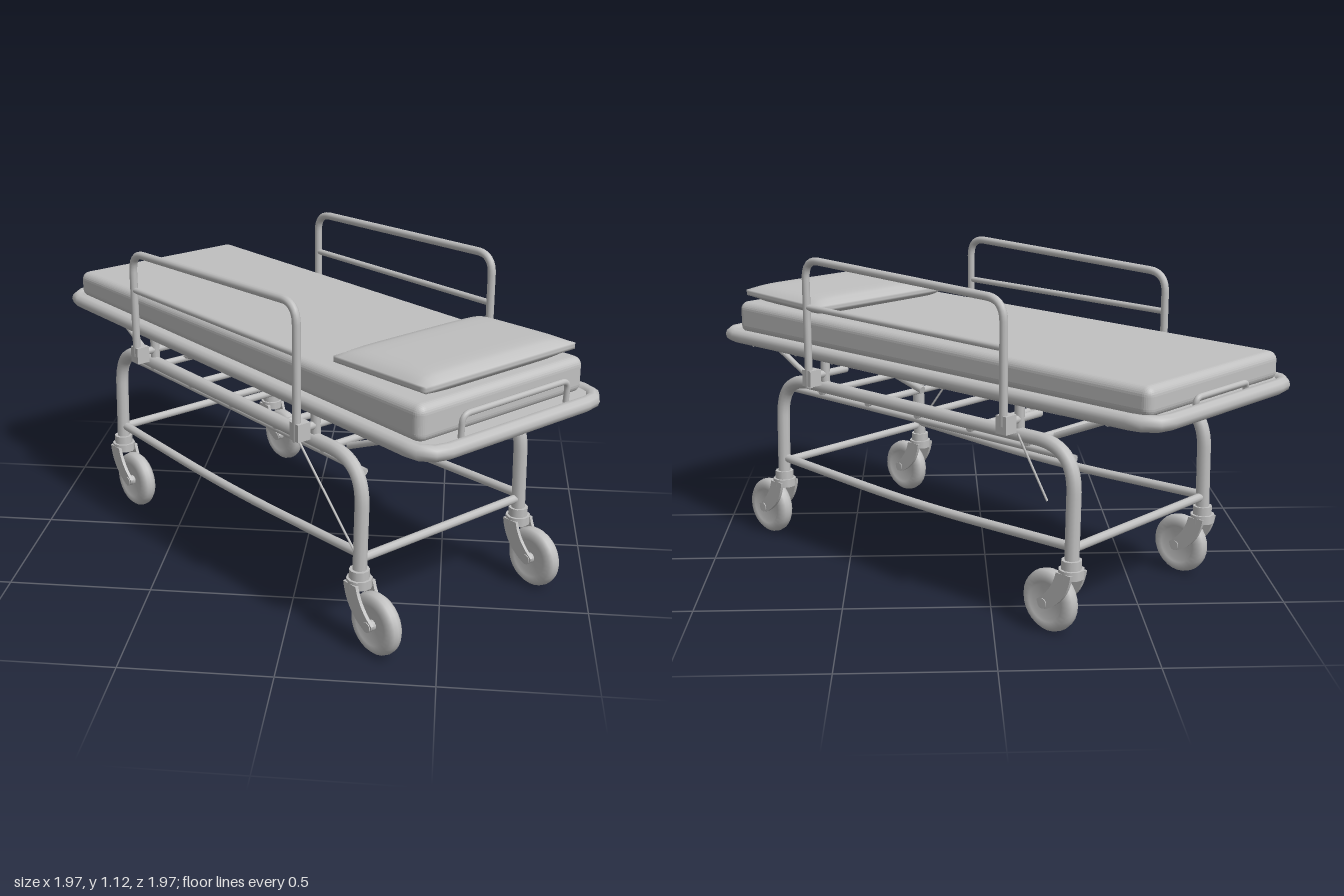
import * as THREE from 'three';
import { RoundedBoxGeometry } from 'three/addons/geometries/RoundedBoxGeometry.js';
import { mergeVertices } from 'three/addons/utils/BufferGeometryUtils.js';

const V = (x, y, z) => new THREE.Vector3(x, y, z);

// Polyline with its corners rounded off by distance d
function roundedPath(pts, d, closed = false) {
  const path = new THREE.CurvePath();
  const n = pts.length;
  const toward = (p, q) => p.clone().add(q.clone().sub(p).setLength(d));
  let pen = closed ? toward(pts[0], pts[1]) : pts[0];
  for (let i = 1; i < (closed ? n + 1 : n - 1); i++) {
    const c = pts[i % n];
    const a = toward(c, pts[i - 1]);
    const b = toward(c, pts[(i + 1) % n]);
    path.add(new THREE.LineCurve3(pen, a));
    path.add(new THREE.QuadraticBezierCurve3(a, c, b));
    pen = b;
  }
  if (!closed) path.add(new THREE.LineCurve3(pen, pts[n - 1]));
  return path;
}

export function createModel() {
  const grey = new THREE.MeshStandardMaterial({ color: 0xc0c0c0 });
  grey.name = 'light grey';

  // The bed is built along x (head at +x), then turned diagonally
  const bed = new THREE.Group();
  bed.name = 'stretcher';

  const add = (name, geometry, parent = bed) => {
    const mesh = new THREE.Mesh(geometry, grey);
    mesh.name = name;
    parent.add(mesh);
    return mesh;
  };
  const tube = (name, pts, r, d, closed = false) =>
    add(name, new THREE.TubeGeometry(roundedPath(pts, d, closed), 120, r, 10, closed));
  const bar = (name, a, b, r, parent = bed) => {
    const m = add(name, new THREE.CylinderGeometry(r, r, a.distanceTo(b), 10), parent);
    m.position.copy(a).add(b).multiplyScalar(0.5);
    m.quaternion.setFromUnitVectors(V(0, 1, 0), b.clone().sub(a).normalize());
    return m;
  };
  const box = (name, w, h, d, x, y, z) => {
    const m = add(name, new THREE.BoxGeometry(w, h, d));
    m.position.set(x, y, z);
    return m;
  };

  // Mattress, a little thicker towards the head
  const mattress = new RoundedBoxGeometry(1.95, 0.11, 0.72, 4, 0.03);
  const mp = mattress.attributes.position;
  for (let i = 0; i < mp.count; i++) {
    if (mp.getY(i) > 0) mp.setY(i, mp.getY(i) + 0.012 * mp.getX(i));
  }
  mattress.computeVertexNormals();
  add('mattress', mattress).position.set(-0.015, 0.822, 0);

  // Pillow: a soft slab pinched towards its edges
  let pillow = new THREE.BoxGeometry(0.42, 0.07, 0.65, 16, 3, 20);
  pillow.deleteAttribute('uv');
  pillow.deleteAttribute('normal');
  pillow = mergeVertices(pillow);
  const pp = pillow.attributes.position;
  for (let i = 0; i < pp.count; i++) {
    const u = pp.getX(i) / 0.21, w = pp.getZ(i) / 0.325;
    const puff = Math.sqrt(Math.max(0, (1 - u ** 6) * (1 - w ** 6)));
    pp.setY(i, pp.getY(i) * (0.3 + 0.7 * puff) + 0.008 * u);
  }
  pillow.computeVertexNormals();
  add('pillow', pillow).position.set(0.725, 0.915, -0.01);

  // Bed frame: bumper rail and deck
  tube('bumperRail', [V(-1.024, 0.76, -0.384), V(1.024, 0.76, -0.384),
    V(1.024, 0.76, 0.384), V(-1.024, 0.76, 0.384)], 0.026, 0.09, true);
  box('deck', 2.02, 0.015, 0.74, 0, 0.768, 0);

  // Push handles at both ends
  tube('headHandle', [V(1.0, 0.77, -0.23), V(1.005, 0.85, -0.23),
    V(1.005, 0.85, 0.23), V(1.0, 0.77, 0.23)], 0.01, 0.03);
  tube('footHandle', [V(-1.0, 0.77, -0.14), V(-1.005, 0.8, -0.14),
    V(-1.005, 0.8, 0.14), V(-1.0, 0.77, 0.14)], 0.01, 0.02);

  for (const s of [1, -1]) {
    const side = s > 0 ? 'right' : 'left';
    // Leg hoop with its thin stringer and lower bar
    tube(side + 'LegHoop', [V(-0.71, 0.22, s * 0.365), V(-0.71, 0.63, s * 0.355),
      V(0.71, 0.63, s * 0.355), V(0.71, 0.22, s * 0.365)], 0.024, 0.15);
    bar(side + 'Stringer', V(-0.69, 0.585, s * 0.33), V(0.69, 0.585, s * 0.33), 0.012);
    tube(side + 'LowerBar', [V(-0.71, 0.305, s * 0.36), V(0, 0.285, s * 0.36),
      V(0.71, 0.315, s * 0.36)], 0.016, 0.3);

    // Folding side rail, rising slightly towards the head
    const z = s * 0.428, lift = s > 0 ? 0 : 0.015;
    tube(side + 'SideRail', [V(-0.475, 0.67, z), V(-0.475, 1.06 + lift, z),
      V(0.47, 1.1 + lift * 0.5, z), V(0.47, 0.64, z)], 0.014, 0.07);
    bar(side + 'SideRailMidBar', V(-0.475, 0.922, z), V(0.47, 0.935, z), 0.011);
    for (const x of [-0.475, 0.47]) {
      box(side + 'RailBracket', 0.045, 0.06, 0.05, x, 0.675, s * 0.415);
      bar(side + 'BracketArm', V(x, 0.68, s * 0.42), V(x, 0.68, s * 0.25), 0.014);
      bar(side + 'FramePost', V(x, 0.62, s * 0.35), V(x, 0.77, s * 0.35), 0.017);
    }

    // Under-deck beam and end struts
    box(side + 'UnderBeam', 1.1, 0.04, 0.025, 0, 0.7, s * 0.22);
    for (const e of [1, -1]) {
      bar(side + 'EndStrut', V(e * 0.6, 0.64, s * 0.32), V(e * 0.86, 0.75, s * 0.3), 0.011);
    }
  }

  // Cross members
  for (const x of [-0.5, -0.25, 0, 0.25, 0.5]) {
    bar('hoopCrossBar', V(x, 0.605, -0.35), V(x, 0.605, 0.35), 0.013);
  }
  for (const x of [-0.85, -0.55, -0.15, 0.15, 0.4, 0.6, 0.85]) {
    bar('deckCrossBar', V(x, 0.74, -0.38), V(x, 0.74, 0.38), 0.012);
  }
  for (const x of [-0.71, 0.71]) {
    bar('lowerCrossBar', V(x, 0.3, -0.36), V(x, 0.3, 0.36), 0.015);
  }

  // Tilting linkage under the deck
  bar('liftStrut', V(-0.5, 0.62, 0.2), V(0.2, 0.72, -0.15), 0.018);
  bar('backrestStrut', V(0.2, 0.62, 0.12), V(0.7, 0.75, 0.12), 0.014);
  bar('backrestStrut', V(0.2, 0.62, -0.12), V(0.7, 0.75, -0.12), 0.014);

  // Brake cables
  bar('brakeCable', V(0.48, 0.65, 0.43), V(0.7, 0.33, 0.38), 0.004);
  bar('brakeCable', V(-0.52, 0.65, -0.41), V(-0.615, 0.44, -0.375), 0.004);

  // Castors: tyre, hub and swept fork
  const tyre = new THREE.LatheGeometry([
    [0, -0.017], [0.06, -0.017], [0.068, -0.028], [0.092, -0.026], [0.103, -0.014], [0.106, 0],
    [0.103, 0.014], [0.092, 0.026], [0.068, 0.028], [0.06, 0.017], [0, 0.017],
  ].map(([r, y]) => new THREE.Vector2(r, y)), 28);
  tyre.rotateX(Math.PI / 2);
  const armShape = new THREE.Shape();
  armShape.moveTo(-0.03, 0.225);
  armShape.lineTo(0.03, 0.225);
  armShape.quadraticCurveTo(0.045, 0.16, 0.108, 0.115);
  armShape.quadraticCurveTo(0.105, 0.085, 0.07, 0.09);
  armShape.quadraticCurveTo(-0.015, 0.13, -0.03, 0.225);
  const arm = new THREE.ExtrudeGeometry(armShape, { depth: 0.012, bevelEnabled: false });

  for (const x of [-0.71, 0.71]) for (const z of [-0.365, 0.365]) {
    const castor = new THREE.Group();
    castor.name = 'castor';
    castor.position.set(x, 0, z);
    bed.add(castor);
    add('wheel', tyre, castor).position.set(0.085, 0.106, 0);
    bar('axle', V(0.085, 0.106, -0.045), V(0.085, 0.106, 0.045), 0.018, castor);
    add('forkArm', arm, castor).position.z = 0.03;
    add('forkArm', arm, castor).position.z = -0.042;
    bar('forkCrown', V(0, 0.205, 0), V(0, 0.235, 0), 0.043, castor);
    bar('swivel', V(0, 0.23, 0), V(0, 0.265, 0), 0.034, castor);
  }

  bed.rotation.y = -Math.PI / 4;
  const model = new THREE.Group();
  model.name = 'hospitalStretcher';
  model.add(bed);
  return model;
}
